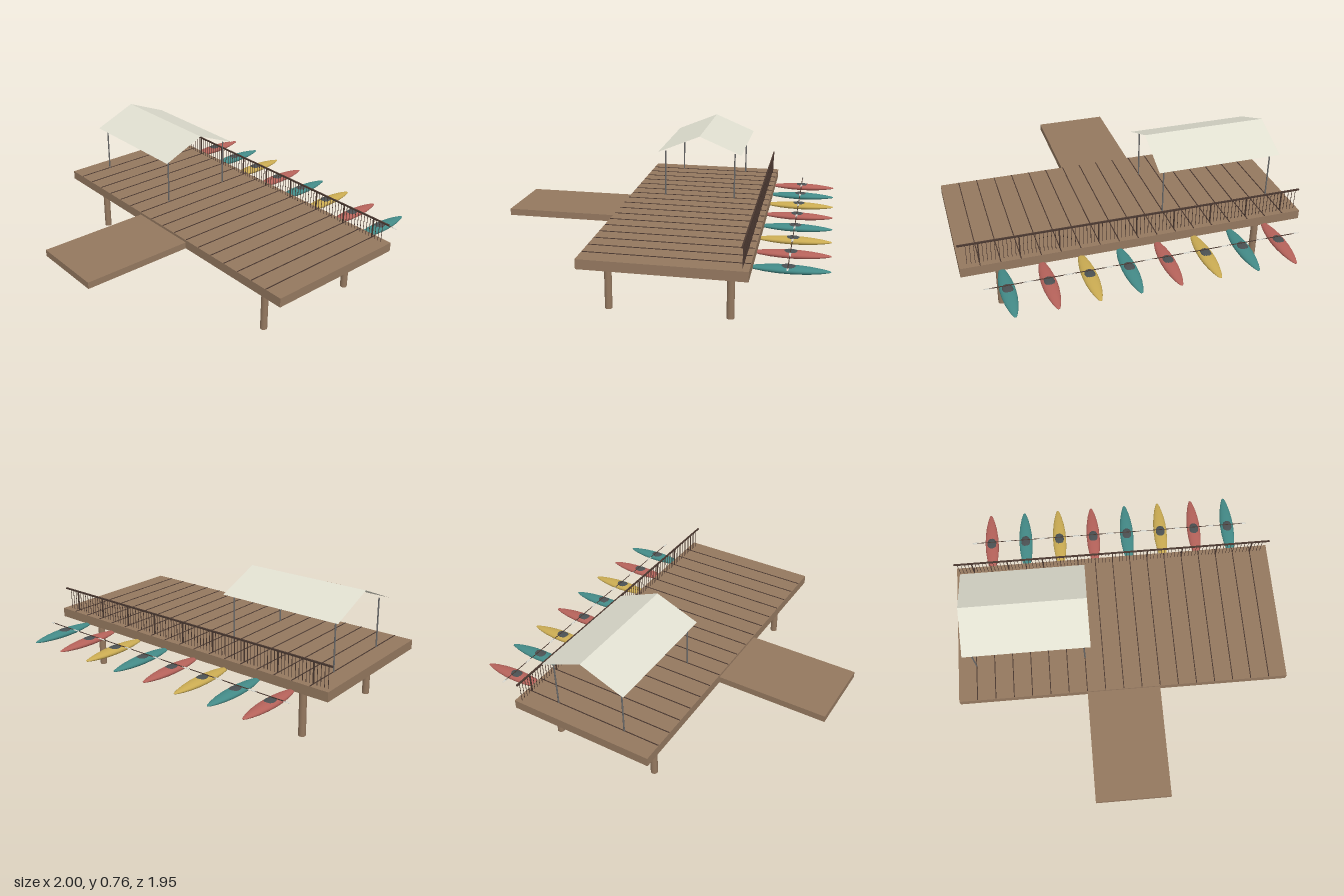
import * as THREE from 'three';

const mat = (color, extra = {}) => new THREE.MeshStandardMaterial({ color, ...extra });

export function createModel() {
  const root = new THREE.Group();
  const M = 1 / 9; // one plank width
  const wood = mat(0x94785f);
  const dark = mat(0x4a3830);
  const metal = mat(0x6a6a6a);
  const cockpitMat = mat(0x4a5052);
  const bladeMat = mat(0xd8d8d0);
  const canvas = mat(0xe0dfd0, { side: THREE.DoubleSide });
  const hullMats = [0xb5625a, 0x438a87, 0xcaab52].map((c) => mat(c));

  const add = (parent, name, geo, material, x = 0, y = 0, z = 0) => {
    const mesh = new THREE.Mesh(geo, material);
    mesh.name = name;
    mesh.position.set(x, y, z);
    parent.add(mesh);
    return mesh;
  };
  const group = (name) => {
    const g = new THREE.Group();
    g.name = name;
    root.add(g);
    return g;
  };

  // Platform, walkway and plank seams
  const deck = group('deck');
  add(deck, 'platform', new THREE.BoxGeometry(2, 0.055, 0.89), wood, 0, 0.3325, -0.135);
  add(deck, 'walkway', new THREE.BoxGeometry(0.444, 0.04, 0.667), wood, 0, 0.325, 0.643);
  const seam = new THREE.BoxGeometry(0.005, 0.004, 0.885);
  for (let i = -8; i <= 8; i++) add(deck, 'plankSeam', seam, dark, i * M, 0.361, -0.135);

  // Piles under the platform
  const piles = group('piles');
  const pile = new THREE.CylinderGeometry(0.021, 0.021, 0.306, 12);
  for (const x of [-0.778, 0.778])
    for (const z of [0.2, -0.468]) add(piles, 'pile', pile, wood, x, 0.153, z);

  // Railing along the back edge
  const railing = group('railing');
  const railZ = -0.545;
  add(railing, 'handrail', new THREE.BoxGeometry(2, 0.009, 0.009), dark, 0, 0.485, railZ);
  const post = new THREE.BoxGeometry(0.007, 0.125, 0.007);
  const baluster = new THREE.BoxGeometry(0.0025, 0.122, 0.0025);
  for (let i = -44; i <= 43; i++) {
    const isPost = i % 10 === 0;
    add(railing, isPost ? 'railPost' : 'baluster', isPost ? post : baluster, dark, i * M / 5, 0.42, railZ);
  }

  // Canopy: four slim poles and a thin pitched roof
  const canopy = group('canopy');
  const pole = new THREE.CylinderGeometry(0.0045, 0.0045, 0.29, 8);
  for (const x of [-0.889, -0.222])
    for (const z of [0.09, -0.355]) add(canopy, 'canopyPole', pole, metal, x, 0.505, z);
  const run = 0.265, rise = 0.11;
  const slope = new THREE.PlaneGeometry(0.75, Math.hypot(run, rise));
  for (const s of [1, -1]) {
    const side = add(canopy, 'canopySlope', slope, canvas, -0.555, 0.65 + rise / 2, -0.135 + s * run / 2);
    side.rotation.x = s > 0 ? -Math.atan2(run, rise) : Math.PI + Math.atan2(run, rise);
  }

  // Kayaks with cockpit and paddle
  const profile = [[0, -1], [0.007, -0.985], [0.013, -0.92], [0.023, -0.77], [0.034, -0.53],
    [0.041, -0.26], [0.043, 0]];
  const points = [...profile, ...profile.slice(0, -1).reverse().map(([r, t]) => [r, -t])]
    .map(([r, t]) => new THREE.Vector2(r, t * 0.216));
  const hull = new THREE.LatheGeometry(points, 16).rotateX(Math.PI / 2).scale(1, 0.5, 1);
  const cockpit = new THREE.SphereGeometry(1, 16, 8).scale(0.03, 0.011, 0.046);
  const shaft = new THREE.CylinderGeometry(0.0025, 0.0025, 0.19, 6).rotateZ(Math.PI / 2);
  const blade = new THREE.SphereGeometry(1, 12, 6).scale(0.024, 0.002, 0.006);
  for (let i = 0; i < 8; i++) {
    const kayak = group('kayak');
    kayak.position.set((2 * i - 7) * M, 0.302, -0.761);
    add(kayak, 'hull', hull, hullMats[i % 3]);
    add(kayak, 'cockpit', cockpit, cockpitMat, 0, 0.014, 0);
    add(kayak, 'paddleShaft', shaft, dark, 0, 0.038, 0);
    for (const s of [-1, 1]) add(kayak, 'paddleBlade', blade, bladeMat, s * 0.1, 0.038, 0);
  }
  return root;
}
